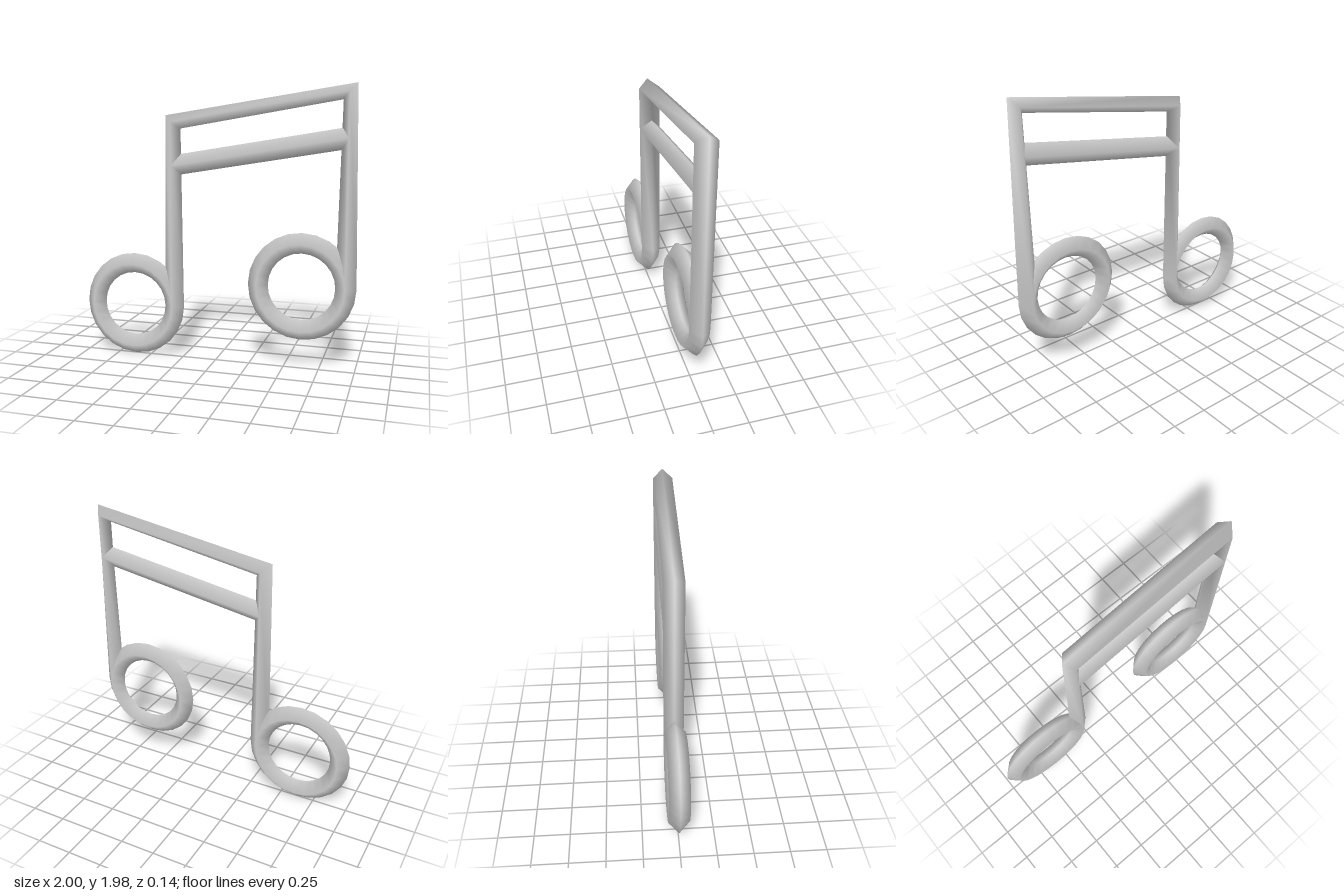
import * as THREE from 'three';

const R = 0.072; // bar half-thickness, shared by every part

// Sweeps a smooth-shaded four-sided section along a path in the xy plane
function sweep(points) {
  const path = points.map(([x, y]) => new THREE.Vector2(x, y));
  const pos = [], nor = [], idx = [];
  path.forEach((p, i) => {
    const t = new THREE.Vector2();
    if (i > 0) t.add(p.clone().sub(path[i - 1]).normalize());
    if (i < path.length - 1) t.add(path[i + 1].clone().sub(p).normalize());
    t.normalize();
    for (let k = 0; k < 4; k++) {
      const c = Math.cos(k * Math.PI / 2), s = Math.sin(k * Math.PI / 2);
      const n = [-t.y * c, t.x * c, s];
      pos.push(p.x + n[0] * R, p.y + n[1] * R, n[2] * R);
      nor.push(...n);
      if (i < path.length - 1) {
        const a = i * 4 + k, b = i * 4 + (k + 1) % 4;
        idx.push(a, b, a + 4, b, b + 4, a + 4);
      }
    }
  });
  // end caps
  const e = (path.length - 1) * 4;
  idx.push(0, 2, 1, 0, 3, 2, e, e + 1, e + 2, e, e + 2, e + 3);
  const g = new THREE.BufferGeometry();
  g.setAttribute('position', new THREE.Float32BufferAttribute(pos, 3));
  g.setAttribute('normal', new THREE.Float32BufferAttribute(nor, 3));
  g.setIndex(idx);
  return g;
}

export function createModel() {
  const group = new THREE.Group();
  const grey = new THREE.MeshStandardMaterial({ color: 0xcccccc });
  grey.name = 'light grey';
  const add = (name, geometry, x = 0, y = 0) => {
    const mesh = new THREE.Mesh(geometry, grey);
    mesh.name = name;
    mesh.position.set(x, y, 0);
    group.add(mesh);
  };

  // Both stems and the top beam are one bent bar
  add('stemsAndTopBeam', sweep([[-0.312, 0.385], [-0.312, 1.725], [0.925, 1.93], [0.927, 0.592]]));

  // Second beam, running into the stems
  add('lowerBeam', sweep([[-0.31, 1.418], [0.92, 1.623]]));

  // Open note heads
  const head = new THREE.TorusGeometry(0.308, R, 4, 24);
  add('rightNoteHead', head, -0.62, 0.385);
  add('leftNoteHead', head, 0.619, 0.592);

  return group;
}
